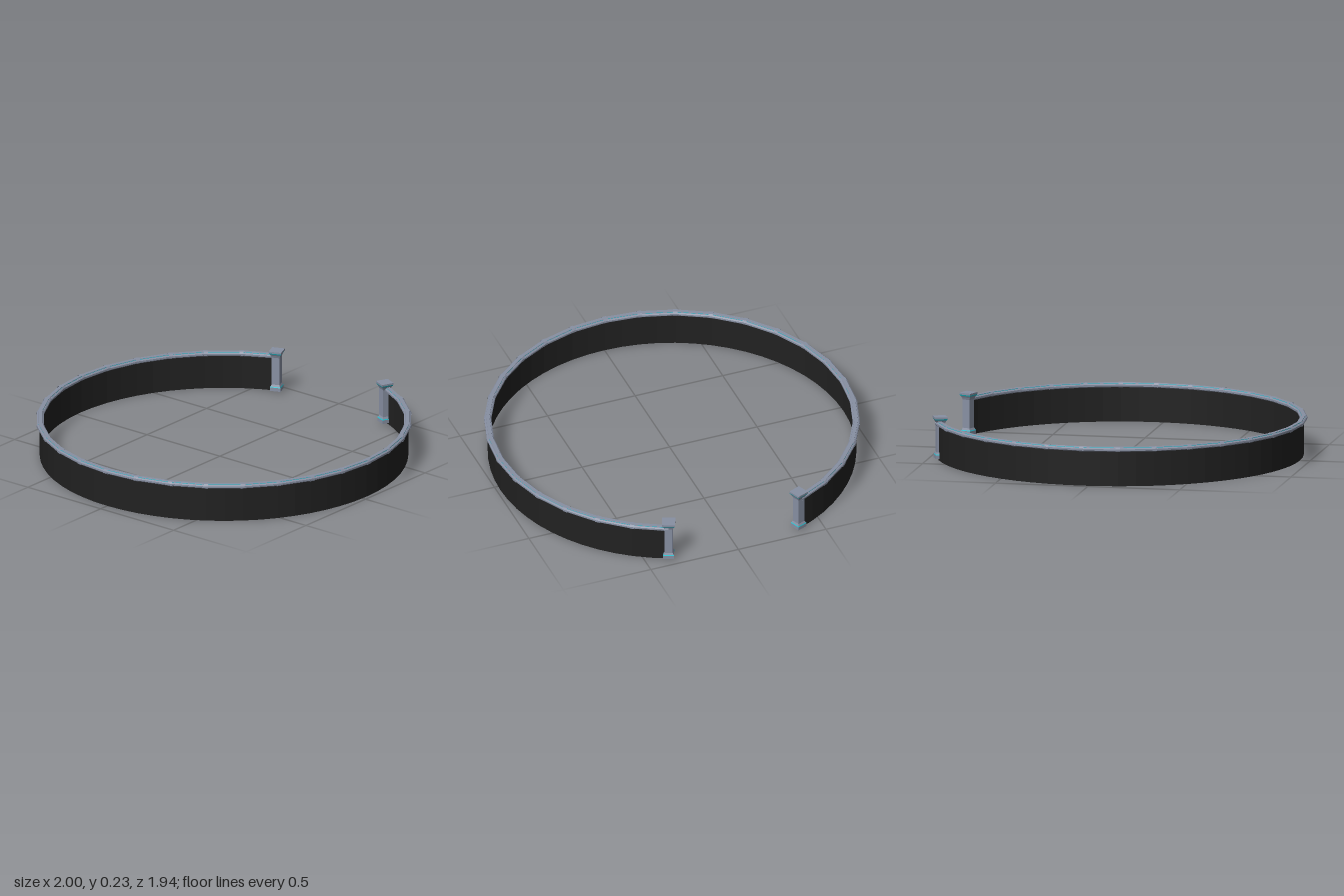
import * as THREE from 'three';

const CENTRE_Z = -0.035;           // ring centre, shifted because the ring is open at the back
const RADIUS = 0.98;
const SEGMENTS = 28;               // rail segments over the arc
const ARC = THREE.MathUtils.degToRad(315);
const STEP = ARC / SEGMENTS;

const metal = new THREE.MeshStandardMaterial({ name: 'blue grey metal', color: 0x8890a3, side: THREE.DoubleSide });
const dark = new THREE.MeshStandardMaterial({ name: 'black panel', color: 0x212121, side: THREE.DoubleSide });
const glow = new THREE.MeshStandardMaterial({ name: 'cyan trim', color: 0x1fc3d2, side: THREE.DoubleSide });

// Faceted sweep of a [radius, y] profile around y
function sweep(name, profile, material, segments, start, length) {
  const points = profile.map(([r, y]) => new THREE.Vector2(r, y));
  const geometry = new THREE.LatheGeometry(points, segments, start, length).toNonIndexed();
  geometry.computeVertexNormals();
  const mesh = new THREE.Mesh(geometry, material);
  mesh.name = name;
  return mesh;
}

// Arc strip of the ring; profile radii are offsets from the ring radius
function ringStrip(name, profile, material, segments = SEGMENTS, start = -ARC / 2, length = ARC) {
  return sweep(name, profile.map(([d, y]) => [RADIUS + d, y]), material, segments, start, length);
}

// Square section; profile gives [half width, y]
function square(name, profile, material) {
  return sweep(name, profile.map(([h, y]) => [h * Math.SQRT2, y]), material, 4, Math.PI / 4, Math.PI * 2);
}

function createPost(angle) {
  const post = new THREE.Group();
  post.name = 'endPost';
  // hollow shaft with a flared foot and neck
  post.add(square('postShaft', [
    [0.029, 0.01], [0.029, 0.03], [0.027, 0.034], [0.022, 0.045],
    [0.022, 0.198], [0.026, 0.21], [0.031, 0.219],
  ], metal));
  post.add(square('footTrim', [[0.0295, 0.03], [0.0275, 0.0345]], glow));
  post.add(square('capTrim', [[0.031, 0.218], [0.0345, 0.225]], glow));
  post.add(square('postCap', [[0, 0.225], [0.035, 0.225], [0.035, 0.235], [0, 0.235]], metal));
  post.position.set(Math.sin(angle) * 0.97, 0, Math.cos(angle) * 0.97);
  post.rotation.y = angle;
  return post;
}

export function createModel() {
  const model = new THREE.Group();
  model.name = 'openRingBarrier';
  const ring = new THREE.Group();
  ring.name = 'ring';
  ring.position.z = CENTRE_Z;
  model.add(ring);

  // thin curved wall
  ring.add(ringStrip('wallPanel', [[0, 0], [0, 0.192]], dark, SEGMENTS * 2));

  // handrail: chamfered base, recessed trim and raised ridge
  ring.add(ringStrip('railBase', [
    [-0.014, 0.188], [0.014, 0.188], [0.019, 0.193], [0.019, 0.202],
    [0.013, 0.207], [-0.013, 0.207], [-0.019, 0.202], [-0.019, 0.193], [-0.014, 0.188],
  ], metal));
  ring.add(ringStrip('railTrim', [[0.0095, 0.207], [0.0095, 0.2095], [-0.0095, 0.2095], [-0.0095, 0.207]], glow));
  ring.add(ringStrip('railRidge', [
    [0.01, 0.2095], [0.009, 0.212], [-0.009, 0.212], [-0.01, 0.2095], [0.01, 0.2095],
  ], metal));

  // narrow collars over the rail joints
  for (let i = 1; i < SEGMENTS; i++) {
    const a = -ARC / 2 + i * STEP;
    ring.add(ringStrip('railCollar', [
      [-0.015, 0.187], [0.015, 0.187], [0.02, 0.192], [0.02, 0.203],
      [0.012, 0.2125], [-0.012, 0.2125], [-0.02, 0.203], [-0.02, 0.192], [-0.015, 0.187],
    ], metal, 2, a - 0.012, 0.024));
  }

  // posts closing both ends of the arc
  for (const side of [-1, 1]) ring.add(createPost(side * ARC / 2));
  return model;
}
